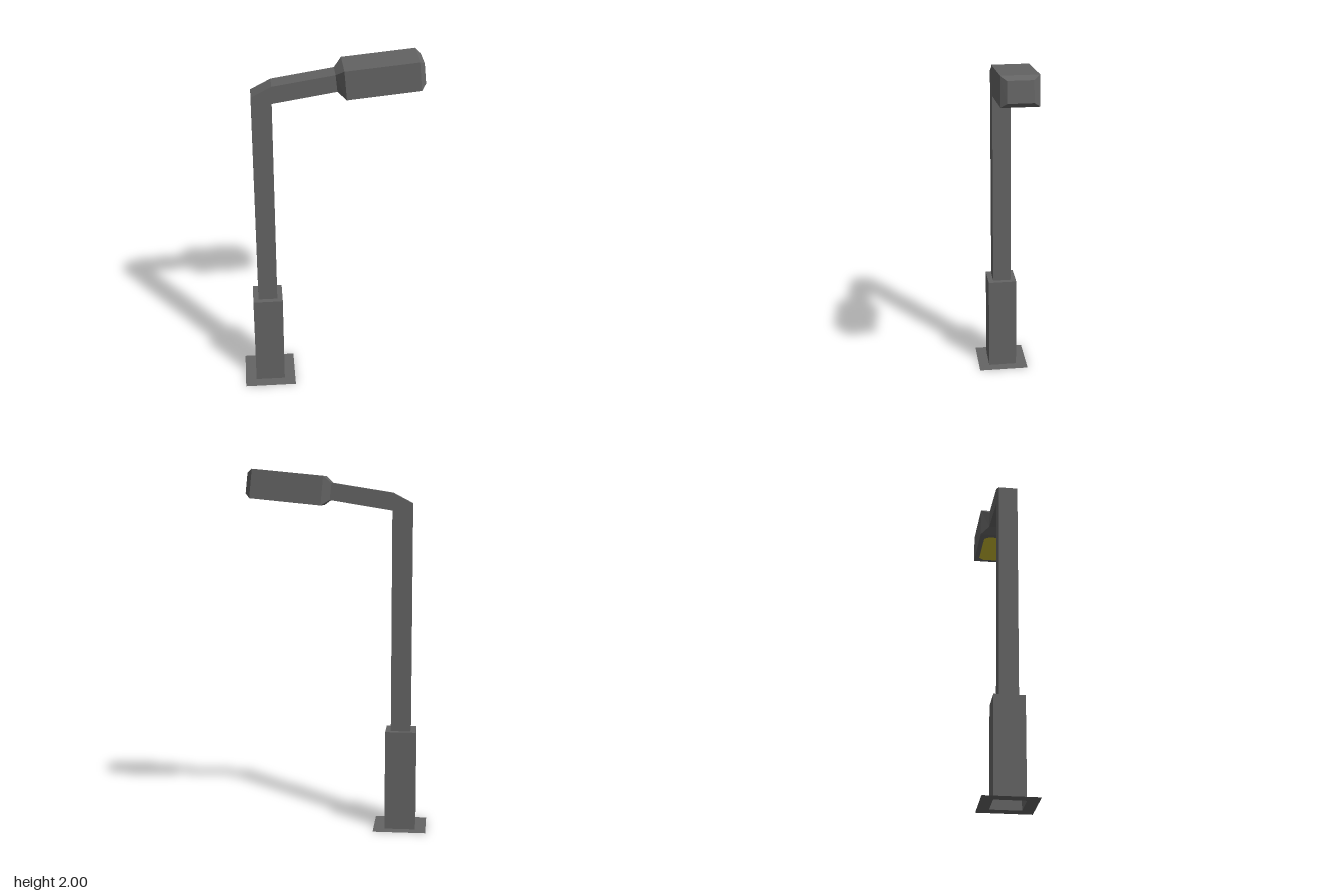
import * as THREE from 'three';

// Lofts square sections [ax, ay, bx, by, halfDepth]; a is the left/top edge, b the right/bottom edge
function loft(sections, capEnd = false) {
  const rings = sections.map(([ax, ay, bx, by, h]) => [
    new THREE.Vector3(ax, ay, h), new THREE.Vector3(bx, by, h),
    new THREE.Vector3(bx, by, -h), new THREE.Vector3(ax, ay, -h),
  ]);
  const points = [];
  const tri = (a, b, c) => {
    if (new THREE.Triangle(a, b, c).getArea() > 1e-8) points.push(a, b, c);
  };
  const quad = (a, b, c, d) => { tri(a, b, c); tri(a, c, d); };
  for (let i = 0; i < rings.length - 1; i++) {
    const p = rings[i], q = rings[i + 1];
    for (let k = 0; k < 4; k++) {
      const n = (k + 1) % 4;
      quad(p[k], p[n], q[n], q[k]);
    }
  }
  if (capEnd) quad(...rings[rings.length - 1]);
  const geometry = new THREE.BufferGeometry().setFromPoints(points);
  geometry.computeVertexNormals();
  return geometry;
}

export function createModel() {
  const group = new THREE.Group();
  const metal = new THREE.MeshStandardMaterial({ color: 0x646464, side: THREE.DoubleSide });
  metal.name = 'grey metal';
  const glow = new THREE.MeshStandardMaterial({ color: 0xc8ba30 });
  glow.name = 'yellow lens';

  const add = (name, geometry, material = metal) => {
    const mesh = new THREE.Mesh(geometry, material);
    mesh.name = name;
    group.add(mesh);
    return mesh;
  };

  // Upright sections share the post's axis
  const axis = -0.355;
  const level = (y, h) => [axis - h, y, axis + h, y, h];
  const postTop = [-0.409, 1.815, -0.301, 1.776, 0.054];
  const bend = [-0.301, 1.872, -0.301, 1.776, 0.054];
  const armEnd = [0.03, 1.925, 0.04, 1.832, 0.054];

  // Flat ground plate, open under the hollow sleeve
  add('basePlate', loft([level(0, 0.147), level(0, 0.084)]));
  add('baseSleeve', loft([level(0, 0.084), level(0.555, 0.084), level(0.555, 0.054)]));
  add('post', loft([level(0.555, 0.054), postTop]));
  add('arm', loft([postTop, bend, armEnd]));

  // Lamp housing with a flared neck and bevelled tip
  add('lampHead', loft([
    armEnd,
    [0.071, 1.962, 0.085, 1.803, 0.1],
    [0.459, 2.0, 0.475, 1.842, 0.1],
    [0.488, 1.98, 0.5, 1.868, 0.067],
  ], true));

  // Lens with clipped corners, on the underside of the housing
  const l = 0.165, w = 0.073, c = 0.026;
  const outline = [
    [-l + c, -w], [l - c, -w], [l, -w + c], [l, w - c],
    [l - c, w], [-l + c, w], [-l, w - c], [-l, -w + c],
  ].map(([x, y]) => new THREE.Vector2(x, y));
  const lens = add('lens', new THREE.ShapeGeometry(new THREE.Shape(outline)).rotateX(Math.PI / 2), glow);
  lens.rotation.z = Math.atan2(0.039, 0.39);
  lens.position.set(0.28, 1.82, 0);

  return group;
}
